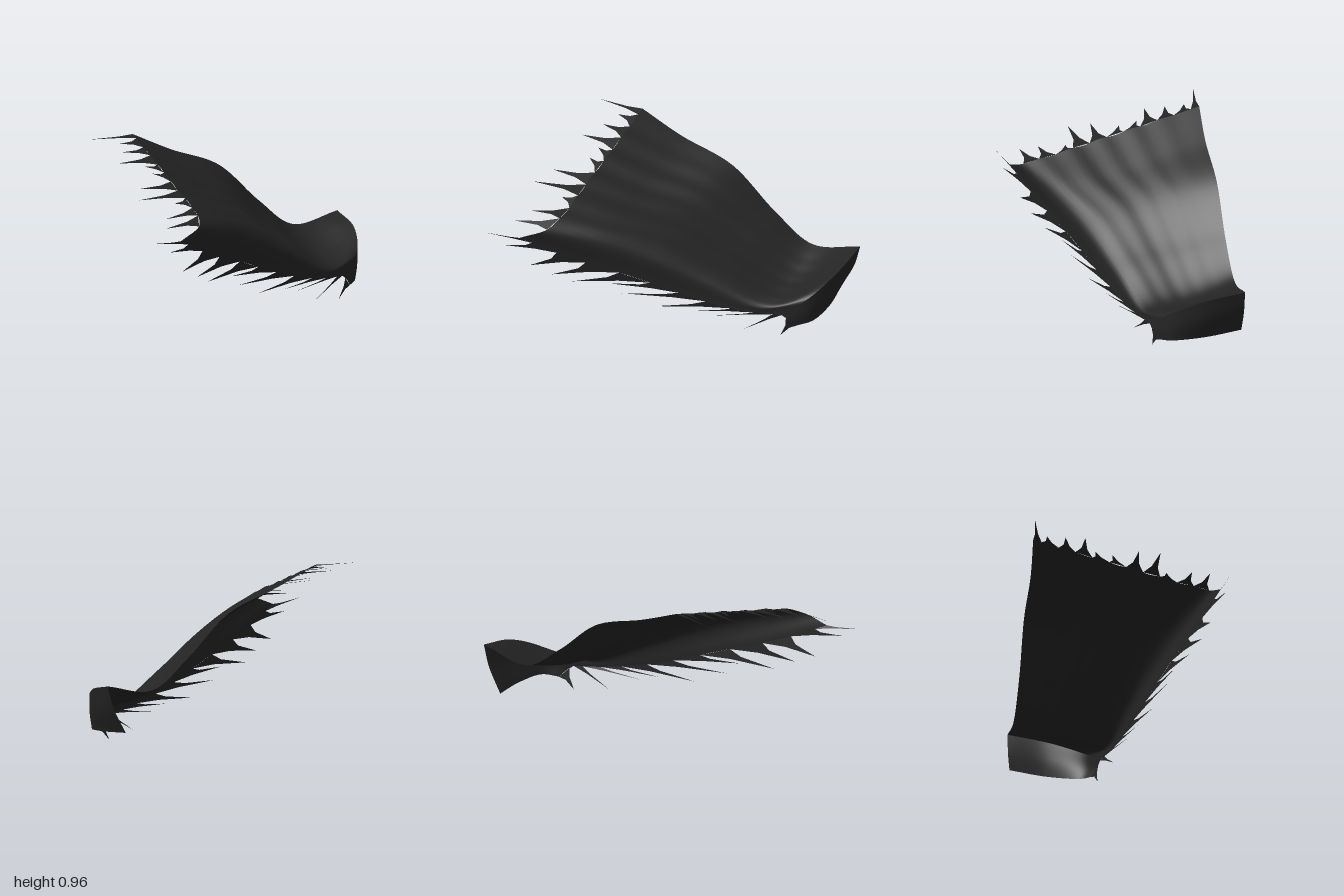
import * as THREE from 'three';

const V = (p) => new THREE.Vector3(...p);
const curve = (pts) => new THREE.CatmullRomCurve3(pts);

// Cross-sections: inner edge, middle, shoulder, outer hem; ordered front to back
const BACK = [
  [[-0.425, 0.96, 0.28], [0.05, 0.795, 0.45], [0.47, 0.64, 0.63], [0.49, 0.575, 0.79]],
  [[-0.36, 0.85, 0.05], [0.05, 0.70, 0.21], [0.415, 0.57, 0.35], [0.44, 0.455, 0.52]],
  [[-0.295, 0.73, -0.25], [0.03, 0.60, -0.06], [0.36, 0.46, 0.06], [0.38, 0.335, 0.16]],
  [[-0.235, 0.50, -0.50], [0.03, 0.41, -0.36], [0.315, 0.32, -0.24], [0.342, 0.225, -0.15]],
  [[-0.19, 0.34, -0.72], [0.05, 0.245, -0.66], [0.285, 0.19, -0.55], [0.315, 0.155, -0.44]],
  [[-0.13, 0.385, -1.0], [0.08, 0.335, -0.925], [0.24, 0.235, -0.79], [0.285, 0.135, -0.64]],
];
const FLAP = [
  BACK[5],
  [[-0.14, 0.26, -0.965], [0.08, 0.215, -0.905], [0.238, 0.15, -0.795], [0.28, 0.105, -0.68]],
  [[-0.157, 0.117, -0.89], [0.05, 0.098, -0.865], [0.22, 0.082, -0.80], [0.26, 0.065, -0.72]],
];

// Tips of the torn points along the front edge and the outer hem
const FRONT_TIPS = [
  [-0.5, 0.955, 0.53], [-0.39, 0.93, 0.41], [-0.305, 0.905, 0.48], [-0.225, 0.87, 0.58],
  [-0.13, 0.85, 0.47], [-0.04, 0.83, 0.5], [0.05, 0.785, 0.69], [0.145, 0.75, 0.78],
  [0.24, 0.72, 0.6], [0.335, 0.67, 0.76], [0.415, 0.64, 0.83],
];
const HEM_TIPS = [
  [0.49, 0.59, 0.99], [0.495, 0.525, 0.88], [0.45, 0.39, 0.74], [0.44, 0.34, 0.62],
  [0.405, 0.29, 0.51], [0.39, 0.29, 0.31], [0.37, 0.225, 0.24], [0.345, 0.15, 0.06],
  [0.335, 0.14, -0.15], [0.32, 0.11, -0.25], [0.29, 0.03, -0.43],
];

// Returns a function giving the point at u (front to back) and s (inner to outer)
function sheet(sections, ripple) {
  const rails = [0, 1, 2, 3].map((k) => curve(sections.map((r) => V(r[k]))));
  return (u, s) => {
    const p = curve(rails.map((r) => r.getPoint(u))).getPointAt(s);
    p.y += ripple * Math.sin(s * 42 + u * 5) * Math.sin(Math.PI * s) * (1 - u);
    return p;
  };
}

function makeGeometry(points, index) {
  const g = new THREE.BufferGeometry().setFromPoints(points);
  g.setIndex(index);
  g.computeVertexNormals();
  return g;
}

function sheetGeometry(at, rows, cols) {
  const points = [], index = [];
  for (let i = 0; i <= rows; i++) {
    for (let j = 0; j <= cols; j++) {
      points.push(at(i / rows, j / cols));
      if (i === rows || j === cols) continue;
      const a = i * (cols + 1) + j, c = a + cols + 1;
      index.push(a, a + 1, c, a + 1, c + 1, c);
    }
  }
  return makeGeometry(points, index);
}

// A tapering torn point with hollow sides between two places on an edge
function spikeGeometry(left, right, tip) {
  const mid = left.clone().lerp(right, 0.5);
  const narrow = (p) => p.clone().lerp(mid, 0.45).lerp(tip, 0.35);
  return makeGeometry([left, right, narrow(left), narrow(right), tip], [0, 2, 1, 2, 3, 1, 2, 4, 3]);
}

export function createModel() {
  const group = new THREE.Group();
  group.name = 'tatteredCape';
  const cloth = new THREE.MeshStandardMaterial({ color: 0x242424, side: THREE.DoubleSide });
  cloth.name = 'black cloth';
  const add = (name, geometry) => {
    const mesh = new THREE.Mesh(geometry, cloth);
    mesh.name = name;
    group.add(mesh);
  };

  // Main cloth and the collar flap folded down at the rear
  const back = sheet(BACK, 0.005), flap = sheet(FLAP, 0);
  add('capeCloth', sheetGeometry(back, 50, 36));
  add('collarFlap', sheetGeometry(flap, 14, 36));

  // Torn front edge
  const clamp = (t) => Math.min(1, Math.max(0, t));
  FRONT_TIPS.forEach((tip, i) => {
    const s = i * 0.082;
    add('frontTatter', spikeGeometry(back(0, clamp(s - 0.041)), back(0, s + 0.041), V(tip)));
  });

  // Torn outer hem
  HEM_TIPS.forEach((tip, i) => {
    const u = i / 10;
    add('hemTatter', spikeGeometry(back(clamp(u - 0.05), 1), back(clamp(u + 0.05), 1), V(tip)));
  });
  add('collarTatter', spikeGeometry(flap(0.3, 1), flap(1, 1), V([0.265, 0, -0.63])));

  return group;
}
